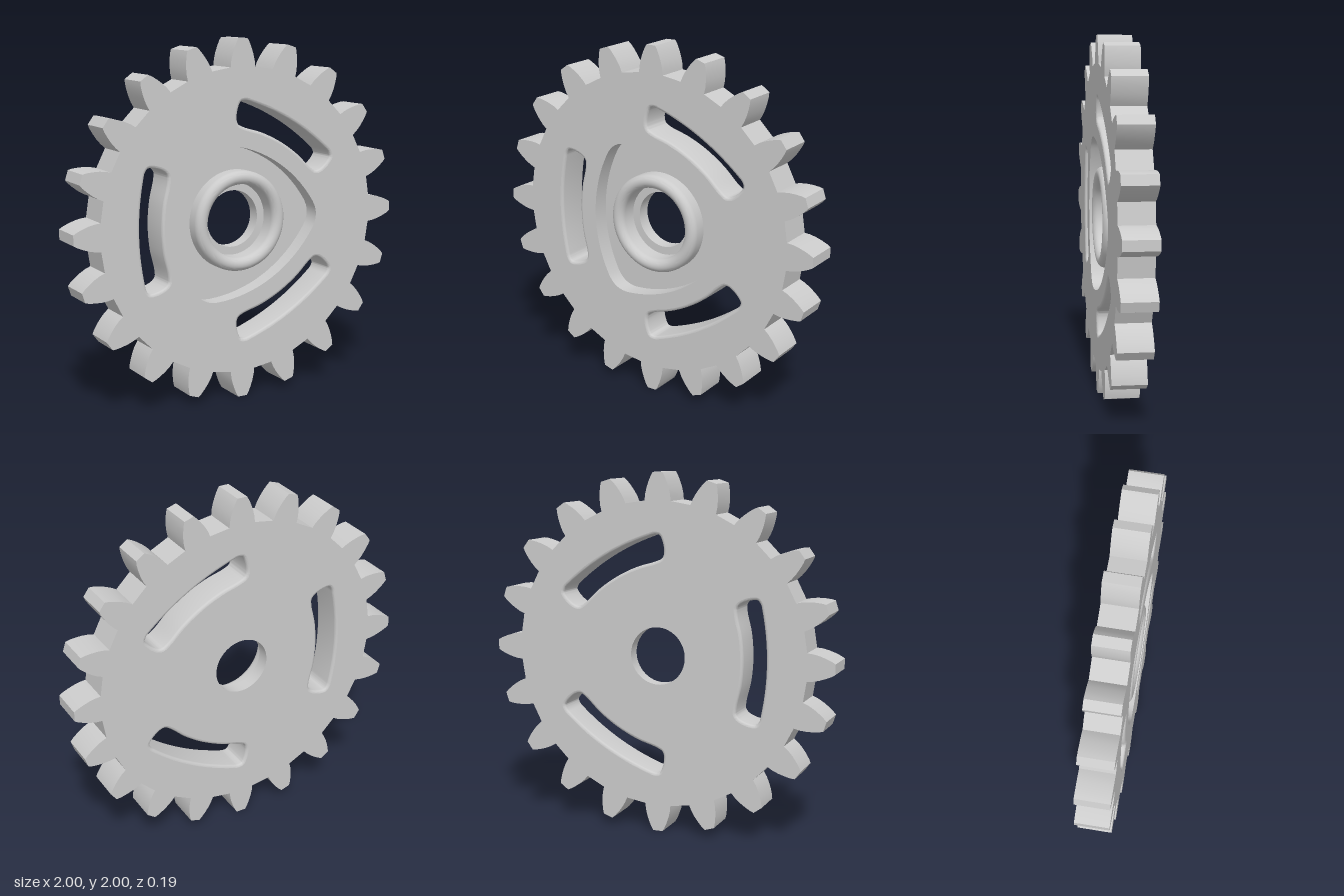
import * as THREE from 'three';
import { toCreasedNormals } from 'three/addons/utils/BufferGeometryUtils.js';

const TEETH = 20, HALF = 0.095, FLOOR = 0;
const V = (x, y) => new THREE.Vector2(x, y);
const turn = (pts, a) => pts.map(p => p.clone().rotateAround(V(0, 0), a));
const material = new THREE.MeshStandardMaterial({ color: 0xcccccc });

// Wall swept along a closed loop; it faces the right of travel.
// profile: [z, offset to the right], z rising.
function wall(pts, profile) {
  const n = pts.length, pos = [], idx = [];
  profile.forEach(([z, off]) => pts.forEach((p, i) => {
    const t = pts[(i + 1) % n].clone().sub(pts[(i + n - 1) % n]).normalize();
    pos.push(p.x + t.y * off, p.y - t.x * off, z);
  }));
  for (let r = 0; r < profile.length - 1; r++) {
    for (let i = 0; i < n; i++) {
      const j = (i + 1) % n, a = r * n + i, b = r * n + j;
      idx.push(a, b, b + n, a, b + n, a + n);
    }
  }
  const g = new THREE.BufferGeometry();
  g.setAttribute('position', new THREE.Float32BufferAttribute(pos, 3));
  g.setIndex(idx);
  return toCreasedNormals(g, 0.5);
}

// Flat face with holes
function face(outline, holes, z) {
  const s = new THREE.Shape(outline);
  s.holes = holes.map(h => new THREE.Path(h));
  return new THREE.ShapeGeometry(s).translate(0, 0, z);
}

const circle = r => Array.from({ length: 64 }, (_, i) =>
  V(r * Math.sin(i / 64 * Math.PI * 2), r * Math.cos(i / 64 * Math.PI * 2)));

// Toothed outline, counter-clockwise
function gearOutline() {
  const flank = [[0.847, 0.076], [0.88, 0.073], [0.915, 0.065], [0.95, 0.053], [0.98, 0.04], [1, 0.028]];
  const tooth = [
    ...flank.map(([r, w]) => V(r, -w)),
    ...flank.slice().reverse().map(([r, w]) => V(r, w)),
  ];
  return Array.from({ length: TEETH }, (_, i) => turn(tooth, i / TEETH * Math.PI * 2)).flat();
}

// Curved slot on the right-hand (-x) side, clockwise
function slotOutline() {
  const half = [[-0.633, 0.14], [-0.612, 0.28], [-0.6, 0.325], [-0.575, 0.352], [-0.525, 0.35],
    [-0.465, 0.325], [-0.441, 0.295], [-0.441, 0.25], [-0.468, 0.13]];
  const pts = [[-0.64, 0], ...half, [-0.478, 0], ...half.slice().reverse().map(([x, y]) => [x, -y])];
  const curve = new THREE.CatmullRomCurve3(pts.map(([x, y]) => new THREE.Vector3(x, y, 0)), true);
  return curve.getPoints(100).slice(0, -1).map(p => V(p.x, p.y));
}

// Bulged triangle with rounded corners, clockwise
function pocketOutline() {
  const R = 0.77, cx = 0.385, a = 0.48;
  const side = [];
  for (let i = 0; i <= 16; i++) {
    const t = -a + 2 * a * i / 16;
    side.push(V(cx - R * Math.cos(t), R * Math.sin(t)));
  }
  const end = side[16], next = turn([side[0]], -Math.PI * 2 / 3)[0];
  // corner control point: side tangent meets the 120 degree axis
  const dx = Math.sin(a), dy = Math.cos(a), k = Math.sqrt(3);
  const t = -(end.y + k * end.x) / (dy + k * dx);
  const corner = new THREE.QuadraticBezierCurve(end, V(end.x + dx * t, end.y + dy * t), next);
  const third = [...side, ...corner.getPoints(8).slice(1, -1)];
  return [0, 1, 2].flatMap(i => turn(third, -i * Math.PI * 2 / 3));
}

export function createModel() {
  const group = new THREE.Group();
  group.name = 'gear';
  const add = (name, geometry) => {
    const m = new THREE.Mesh(geometry, material);
    m.name = name;
    group.add(m);
  };

  const outline = gearOutline(), pocket = pocketOutline(), slot = slotOutline();
  const slots = [0, 1, 2].map(i => turn(slot, i * Math.PI * 2 / 3));

  // Plate faces and toothed rim
  add('frontFace', face(outline, [pocket, ...slots], HALF));
  add('backFace', face(outline, [circle(0.16), ...slots], HALF).rotateX(Math.PI));
  add('toothedRim', wall(outline, [[-HALF, 0], [HALF, 0]]));

  // Recess around the hub
  add('pocketWall', wall(pocket, [[FLOOR, 0], [HALF, 0]]));
  add('pocketFloor', face(pocket, [circle(0.281)], FLOOR));

  // Slots with rounded rims on both faces
  const r = 0.016, rim = [];
  for (let i = 0; i <= 5; i++) {
    const t = i / 5 * Math.PI / 2;
    rim.push([-HALF + r * (1 - Math.cos(t)), r * Math.sin(t)]);
  }
  const profile = [...rim, ...rim.slice().reverse().map(([z, o]) => [-z, o])];
  // the slot narrows inside, so its wall moves toward the slot's middle
  slots.forEach(s => add('slotWall', wall(s, profile)));

  // Round-topped hub ring with a stepped bore
  const hub = [V(0.281, FLOOR)];
  for (let i = 0; i <= 12; i++) {
    const t = i / 12 * Math.PI;
    hub.push(V(0.243 + 0.038 * Math.cos(t), HALF - 0.038 + 0.038 * Math.sin(t)));
  }
  hub.push(V(0.205, -0.02), V(0.16, -0.02), V(0.16, -HALF));
  add('hubAndBore', toCreasedNormals(new THREE.LatheGeometry(hub, 64).rotateX(Math.PI / 2), 0.5));

  group.position.y = 1;
  const root = new THREE.Group();
  root.name = 'gearModel';
  root.add(group);
  return root;
}
